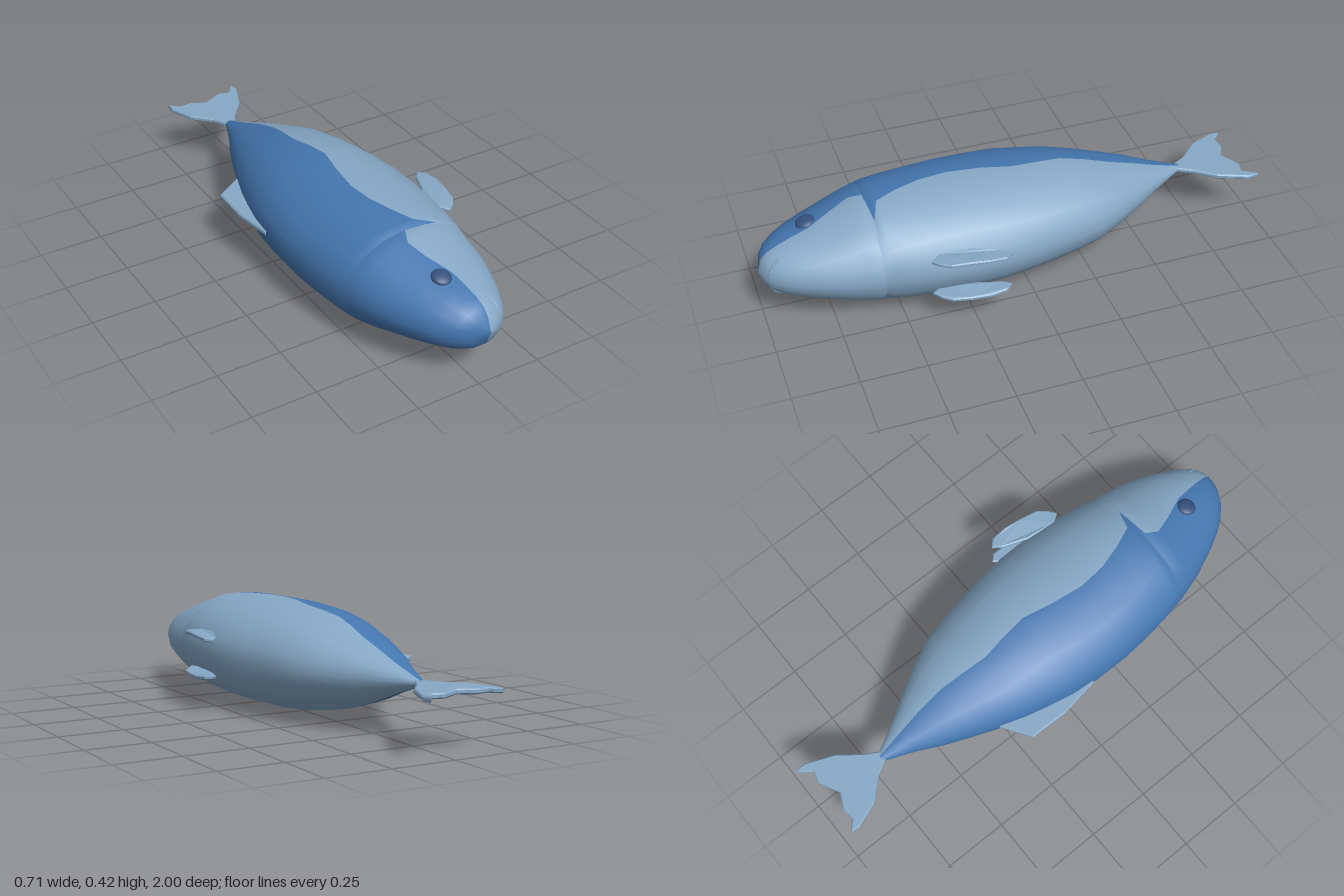
import * as THREE from 'three';

const MID = 0.21; // height of the fish's plane of symmetry (it lies on its side)

// Body sections from tail to nose: z, back x, belly x, half thickness, x of the colour border
const SECTIONS = [
  [-0.72, -0.07, -0.04, 0.01, -0.05],
  [-0.6, -0.117, 0.03, 0.052, -0.035],
  [-0.5, -0.165, 0.095, 0.092, -0.025],
  [-0.4, -0.205, 0.155, 0.125, -0.02],
  [-0.3, -0.242, 0.205, 0.155, -0.03],
  [-0.2, -0.275, 0.232, 0.177, -0.04],
  [-0.1, -0.3, 0.252, 0.193, -0.025],
  [0, -0.32, 0.27, 0.204, -0.015],
  [0.12, -0.329, 0.286, 0.209, -0.04],
  [0.25, -0.33, 0.29, 0.21, -0.056],
  [0.36, -0.32, 0.284, 0.209, -0.045],
  [0.46, -0.307, 0.272, 0.207, -0.015],
  [0.54, -0.292, 0.258, 0.203, 0.02],
  [0.568, -0.286, 0.25, 0.196, 0.1], // gill slit
  [0.58, -0.283, 0.25, 0.198, -0.04],
  [0.63, -0.268, 0.243, 0.184, -0.06],
  [0.7, -0.245, 0.233, 0.16, -0.035],
  [0.8, -0.2, 0.202, 0.133, 0.01],
  [0.87, -0.162, 0.172, 0.115, 0.02],
  [0.92, -0.127, 0.145, 0.099, 0.027],
  [0.96, -0.085, 0.117, 0.08, 0.03],
  [0.985, -0.04, 0.085, 0.055, 0.03],
  [1, 0.025, 0.045, 0.006, 0.033],
];

function bodyGeometry() {
  const N = 10, ring = 2 * N, positions = [], back = [], belly = [];
  for (const [z, x0, x1, b, border] of SECTIONS) {
    const cx = (x0 + x1) / 2, a = (x1 - x0) / 2;
    const tb = Math.acos(THREE.MathUtils.clamp((cx - border) / a, -0.95, 0.95));
    for (let j = 0; j < ring; j++) {
      const t = j < N ? -tb + (2 * tb * j) / N : tb + (2 * (Math.PI - tb) * (j - N)) / N;
      positions.push(cx - a * Math.cos(t), MID + b * Math.sin(t), z);
    }
  }
  for (let i = 0; i < SECTIONS.length - 1; i++) {
    for (let j = 0; j < ring; j++) {
      const A = i * ring + j, B = i * ring + ((j + 1) % ring), D = A + ring, C = B + ring;
      (j < N ? back : belly).push(A, D, B, D, C, B);
    }
  }
  // Close the nose tip
  const nose = positions.length / 3, last = nose - ring;
  positions.push(0.035, MID, 1);
  for (let j = 0; j < ring; j++) (j < N ? back : belly).push(last + j, nose, last + ((j + 1) % ring));

  const g = new THREE.BufferGeometry();
  g.setAttribute('position', new THREE.Float32BufferAttribute(positions, 3));
  g.setIndex([...back, ...belly]);
  g.addGroup(0, back.length, 0);
  g.addGroup(back.length, belly.length, 1);
  g.computeVertexNormals();
  return g;
}

// z of the head's surface at a given x and height above the symmetry plane
function headZ(x, h) {
  for (let i = SECTIONS.length - 1, prev = -1; i >= 0; i--) {
    const [z, x0, x1, b] = SECTIONS[i];
    const f = 1 - ((x - (x0 + x1) / 2) / ((x1 - x0) / 2)) ** 2 - (h / b) ** 2;
    if (f >= 0) {
      if (i === SECTIONS.length - 1) return z;
      return z + (SECTIONS[i + 1][0] - z) * (f / (f - Math.max(prev, -4)));
    }
    prev = f;
  }
  return 0;
}

// Thin fin lying flat, outline given as [x, z]; bend(x, z) offsets its height
function finGeometry(outline, thickness, bend) {
  const shape = new THREE.Shape(outline.map(([x, z]) => new THREE.Vector2(x, -z)));
  const g = new THREE.ExtrudeGeometry(shape, {
    depth: thickness * 0.5, bevelEnabled: true, bevelThickness: thickness * 0.25,
    bevelSize: 0.005, bevelOffset: -0.005, bevelSegments: 1,
  });
  g.translate(0, 0, -thickness * 0.25);
  g.rotateX(-Math.PI / 2);
  if (bend) {
    const p = g.attributes.position;
    for (let i = 0; i < p.count; i++) p.setY(i, p.getY(i) + bend(p.getX(i), p.getZ(i)));
    g.computeVertexNormals();
  }
  return g;
}

export function createModel() {
  const fish = new THREE.Group();
  fish.name = 'fish';
  const mat = (name, color) => {
    const m = new THREE.MeshStandardMaterial({ color });
    m.name = name;
    return m;
  };
  const paleBlue = mat('paleBlue', 0x86a8c6);
  const deepBlue = mat('deepBlue', 0x4577b0);
  const darkBlue = mat('darkBlue', 0x36517c);
  const add = (name, geometry, material) => {
    const m = new THREE.Mesh(geometry, material);
    m.name = name;
    fish.add(m);
    return m;
  };

  add('body', bodyGeometry(), [deepBlue, paleBlue]);

  // Tail and back fin
  add('tailFin', finGeometry([
    [-0.068, -0.7], [-0.105, -0.765], [-0.175, -0.835], [-0.215, -0.935], [-0.212, -0.975],
    [-0.175, -0.94], [-0.125, -0.945], [-0.065, -0.915], [0.015, -0.957], [0.06, -0.945],
    [0.1, -1], [0.107, -0.955], [0.06, -0.84], [0, -0.765], [-0.038, -0.7],
  ], 0.02), paleBlue).position.y = MID;
  add('backFin', finGeometry([
    [-0.3, 0.12], [-0.33, 0.09], [-0.355, -0.07], [-0.352, -0.225], [-0.24, -0.3], [-0.22, -0.25],
  ], 0.02), paleBlue).position.y = MID;

  const finOutline = [
    [0.25, 0.37], [0.28, 0.41], [0.31, 0.385], [0.335, 0.35], [0.347, 0.28], [0.356, 0.21],
    [0.352, 0.145], [0.326, 0.12], [0.3, 0.15], [0.285, 0.19], [0.262, 0.25],
  ];
  for (const s of [1, -1]) {
    const side = s > 0 ? 'upper' : 'lower';
    // Belly fins, gently arched along their length
    add(side + 'BellyFin', finGeometry(finOutline, 0.016,
      (x, z) => s * (0.072 + 0.01 * (1 - ((z - 0.27) / 0.14) ** 2))), paleBlue).position.y = MID;
    // Eyes, tilted to follow the head
    const eye = add(side + 'Eye', new THREE.SphereGeometry(0.037, 20, 12), darkBlue);
    eye.scale.set(1, 0.4, 1);
    eye.position.set(-0.036, MID + s * 0.131, 0.8);
    eye.rotation.x = s * 0.25;
  }

  // Mouth: a slim lip following the front of the head
  const lip = [];
  for (let i = 0; i <= 8; i++) {
    const u = i / 4 - 1, x = 0.097 - 0.012 * u * u, h = 0.075 * u;
    lip.push(new THREE.Vector3(x, MID + h, headZ(x, h) - 0.001));
  }
  add('lip', new THREE.TubeGeometry(new THREE.CatmullRomCurve3(lip), 24, 0.005, 6), paleBlue);

  return fish;
}
